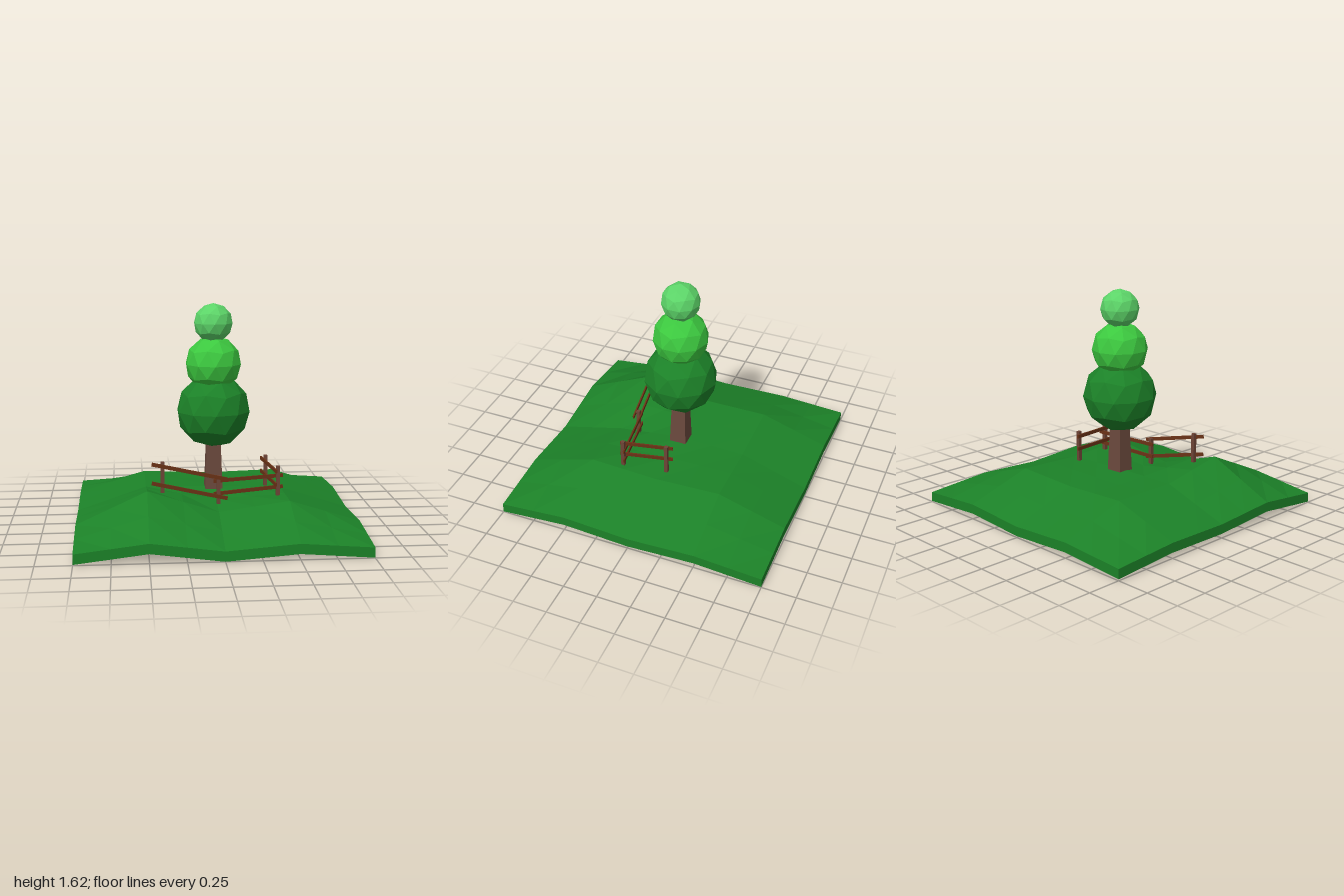
import * as THREE from 'three';

const paint = (color) => new THREE.MeshStandardMaterial({ color, flatShading: true });

function add(parent, name, geometry, material, x = 0, y = 0, z = 0) {
  const mesh = new THREE.Mesh(geometry, material);
  mesh.name = name;
  mesh.position.set(x, y, z);
  parent.add(mesh);
  return mesh;
}

// Coarse ground heights: rows run from back (z = -1) to front (z = 1), columns from x = -1 to 1
const HEIGHTS = [
  [0.08, 0.11, 0.08, 0.11, 0.075],
  [0.11, 0.27, 0.25, 0.265, 0.11],
  [0.1, 0.27, 0.265, 0.245, 0.085],
  [0.13, 0.36, 0.2, 0.27, 0.115],
  [0.075, 0.135, 0.07, 0.11, 0.072],
];

function groundHeight(x, z) {
  const u = (x + 1) * 2, v = (z + 1) * 2;
  const i = Math.min(3, Math.floor(u)), j = Math.min(3, Math.floor(v));
  const lerp = THREE.MathUtils.lerp;
  return lerp(
    lerp(HEIGHTS[j][i], HEIGHTS[j][i + 1], u - i),
    lerp(HEIGHTS[j + 1][i], HEIGHTS[j + 1][i + 1], u - i), v - j);
}

// Rolling slab of constant thickness, 8 x 8 facets
function groundGeometry() {
  const n = 8, thickness = 0.07, pos = [];
  const top = (i, j) => {
    const x = -1 + (2 * i) / n, z = -1 + (2 * j) / n;
    return [x, groundHeight(x, z), z];
  };
  const low = (i, j) => {
    const [x, y, z] = top(i, j);
    return [x, y - thickness, z];
  };
  const quad = (a, b, c, d) => pos.push(...a, ...b, ...c, ...a, ...c, ...d);
  for (let i = 0; i < n; i++) {
    for (let j = 0; j < n; j++) {
      quad(top(i, j), top(i, j + 1), top(i + 1, j + 1), top(i + 1, j));
      quad(low(i, j), low(i + 1, j), low(i + 1, j + 1), low(i, j + 1));
    }
    quad(low(i, n), low(i + 1, n), top(i + 1, n), top(i, n)); // front rim
    quad(low(i + 1, 0), low(i, 0), top(i, 0), top(i + 1, 0)); // back rim
    quad(low(n, i + 1), low(n, i), top(n, i), top(n, i + 1)); // +x rim
    quad(low(0, i), low(0, i + 1), top(0, i + 1), top(0, i)); // -x rim
  }
  const g = new THREE.BufferGeometry();
  g.setAttribute('position', new THREE.Float32BufferAttribute(pos, 3));
  g.computeVertexNormals();
  return g;
}

// Faceted ball with a vertex at each pole
function foliageGeometry(radius) {
  return new THREE.IcosahedronGeometry(radius, 1)
    .rotateX(-Math.atan((1 + Math.sqrt(5)) / 2))
    .rotateY(Math.PI / 2);
}

export function createModel() {
  const model = new THREE.Group();
  model.name = 'treeOnHill';

  const darkGreen = paint(0x1c8228);
  const postWood = paint(0x6e4436);
  const railWood = paint(0x6b3216);

  add(model, 'ground', groundGeometry(), darkGreen);

  // Tree: square tapered trunk and three stacked balls
  const tree = new THREE.Group();
  tree.name = 'tree';
  model.add(tree);
  const trunk = new THREE.CylinderGeometry(0.05 * Math.SQRT2, 0.065 * Math.SQRT2, 0.42, 4)
    .rotateY(Math.PI / 4);
  add(tree, 'trunk', trunk, paint(0x6b493d), 0, 0.43, 0);
  add(tree, 'lowerFoliage', foliageGeometry(0.272), darkGreen, 0, 0.835, 0);
  add(tree, 'middleFoliage', foliageGeometry(0.206), paint(0x3cc83f), 0, 1.18, 0);
  add(tree, 'upperFoliage', foliageGeometry(0.143), paint(0x5cd468), 0, 1.477, 0);

  // Fence posts: x, z, bottom, top
  const fence = new THREE.Group();
  fence.name = 'fence';
  model.add(fence);
  const posts = [
    [-0.39, 0.385, 0.32, 0.54],
    [0.01, 0.345, 0.22, 0.425],
    [0.445, 0.275, 0.25, 0.47],
    [0.395, -0.047, 0.25, 0.482],
  ];
  for (const [x, z, y0, y1] of posts) {
    add(fence, 'fencePost', new THREE.BoxGeometry(0.027, y1 - y0, 0.027), postWood, x, (y0 + y1) / 2, z);
  }

  // Fence rails: start and end in plan, then start and end heights of each rail
  const spans = [
    { from: [-0.465, 0.405], to: [0.072, 0.36], heights: [[0.528, 0.4], [0.392, 0.262]] },
    { from: [-0.025, 0.33], to: [0.482, 0.255], heights: [[0.382, 0.398], [0.288, 0.316]] },
    { from: [0.43, 0.305], to: [0.366, -0.088], heights: [[0.437, 0.452], [0.338, 0.354]] },
  ];
  for (const { from, to, heights } of spans) {
    for (const [y0, y1] of heights) {
      const a = new THREE.Vector3(from[0], y0, from[1]);
      const b = new THREE.Vector3(to[0], y1, to[1]);
      const mid = a.clone().add(b).multiplyScalar(0.5);
      const rail = add(fence, 'fenceRail', new THREE.BoxGeometry(0.011, 0.026, a.distanceTo(b)), railWood, mid.x, mid.y, mid.z);
      rail.lookAt(b);
    }
  }
  return model;
}
